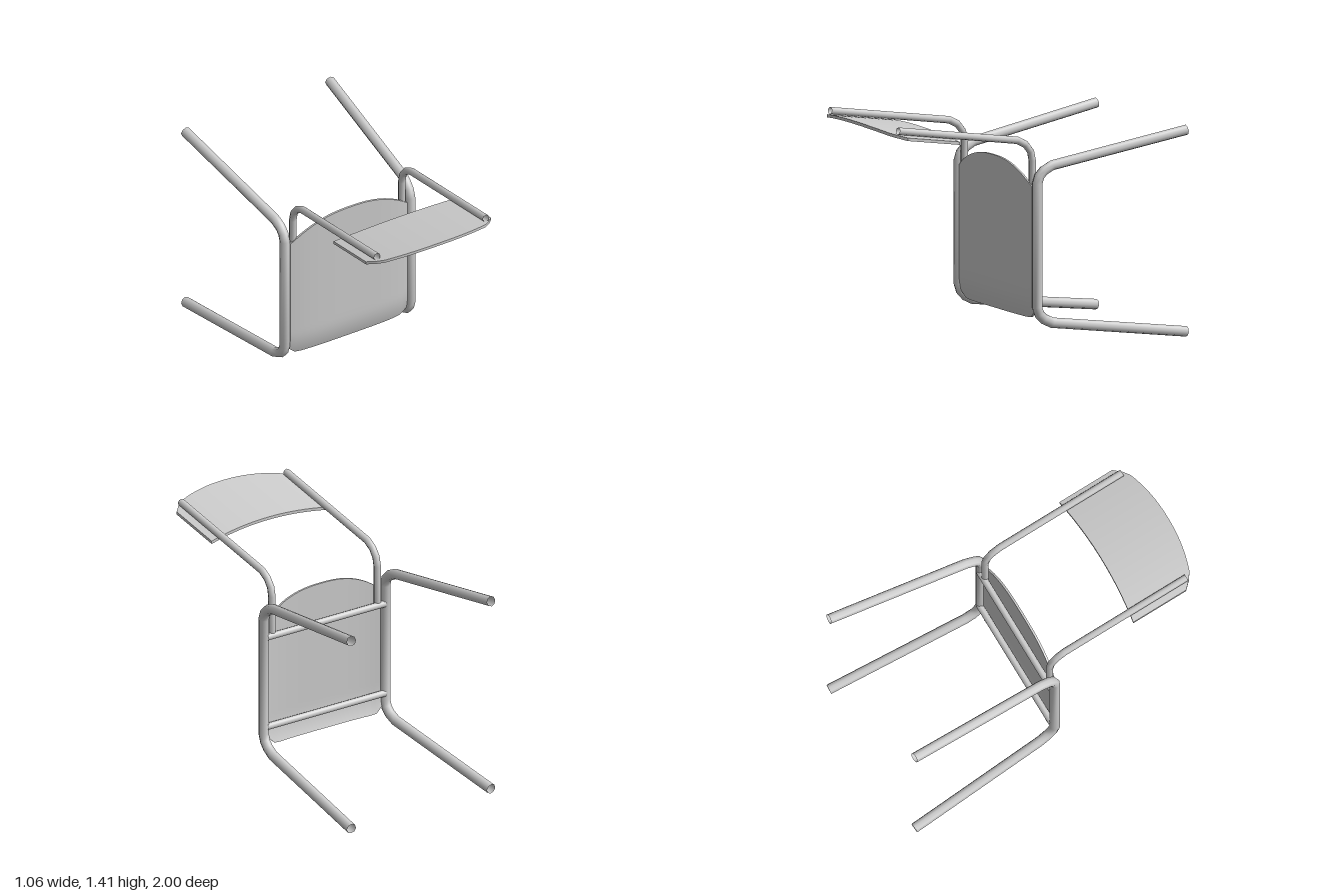
import * as THREE from 'three';

const metal = new THREE.MeshStandardMaterial({ color: 0xcccccc, side: THREE.DoubleSide });

// Polyline whose parameter steps point by point, so a tube gets one ring per point
class Polyline extends THREE.Curve {
  constructor(points) {
    super();
    this.points = points.map((p) => new THREE.Vector3(...p));
  }
  getPoint(t, target = new THREE.Vector3()) {
    const f = t * (this.points.length - 1);
    const i = Math.min(Math.floor(f + 1e-6), this.points.length - 2);
    return target.lerpVectors(this.points[i], this.points[i + 1], f - i);
  }
  getPointAt(t, target) {
    return this.getPoint(t, target);
  }
  getTangentAt(t, target = new THREE.Vector3()) {
    const n = this.points.length - 1;
    const i = Math.round(t * n);
    const dir = (a) => this.points[a + 1].clone().sub(this.points[a]).normalize();
    return target.copy(dir(Math.max(i - 1, 0))).add(dir(Math.min(i, n - 1))).normalize();
  }
}

function tube(name, points, radius) {
  const path = new Polyline(points);
  const mesh = new THREE.Mesh(new THREE.TubeGeometry(path, points.length - 1, radius, 8), metal);
  mesh.name = name;
  return mesh;
}

// Thin panel: a subdivided box whose vertices are placed by a rule
// u runs -1..1 across, v runs 0..1 along, w is 0 or 1 through the thickness
function panel(name, nu, nv, rule) {
  const geo = new THREE.BoxGeometry(2, 1, 1, nu, nv, 1);
  const pos = geo.attributes.position;
  for (let i = 0; i < pos.count; i++) {
    pos.setXYZ(i, ...rule(pos.getX(i), pos.getY(i) + 0.5, pos.getZ(i) + 0.5));
  }
  geo.computeVertexNormals();
  const mesh = new THREE.Mesh(geo, metal);
  mesh.name = name;
  return mesh;
}

export function createModel() {
  const chair = new THREE.Group();
  chair.name = 'chair';

  for (const s of [1, -1]) {
    const side = s > 0 ? 'left' : 'right';

    // Side frame: two splayed legs joined by the seat rail
    chair.add(tube(side + 'LegFrame', [
      [s * 0.497, 0.037, -0.993],
      [s * 0.437, 0.168, -0.11],
      [s * 0.433, 0.195, -0.055],
      [s * 0.432, 0.225, -0.025],
      [s * 0.432, 0.27, -0.01],
      [s * 0.432, 1.0, -0.01],
      [s * 0.432, 1.045, -0.025],
      [s * 0.433, 1.075, -0.055],
      [s * 0.437, 1.102, -0.11],
      [s * 0.497, 1.233, -0.993],
    ], 0.031));

    // Back post, bent from the rear crossbar up to the backrest
    chair.add(tube(side + 'BackPost', [
      [s * 0.375, 0.885, -0.012],
      [s * 0.375, 1.13, -0.012],
      [s * 0.375, 1.185, 0.0],
      [s * 0.375, 1.23, 0.035],
      [s * 0.375, 1.26, 0.09],
      [s * 0.375, 1.397, 0.91],
    ], 0.022));
  }

  // Crossbars under the seat
  chair.add(tube('frontCrossbar', [[-0.42, 0.315, -0.023], [0.42, 0.315, -0.023]], 0.021));
  chair.add(tube('rearCrossbar', [[-0.42, 0.885, -0.023], [0.42, 0.885, -0.023]], 0.021));

  // Seat: rounded rear edge, sides and front lip curling down
  chair.add(panel('seat', 20, 24, (u, v, w) => {
    const a = Math.abs(u);
    const top = 1.11 - 0.13 * a ** 2.5;
    const bottom = 0.195 + 0.04 * Math.max(0, (a - 0.85) / 0.15) ** 2;
    const y = bottom + (top - bottom) * v ** 1.4;
    const lip = Math.max(0, (0.35 - y) / 0.155) ** 2;
    return [u * 0.403, y, 0.028 - 0.02 * a ** 4 - 0.028 * lip - 0.013 * (1 - w)];
  }));

  // Backrest: bowed sheet fixed to the inner face of the posts
  chair.add(panel('backrest', 20, 6, (u, v, w) => {
    const a = Math.abs(u);
    const z0 = 0.55 - 0.03 * a ** 2;
    const z1 = 1.0 - 0.085 * a ** 2.2 - 0.04 * Math.max(0, (a - 0.85) / 0.15);
    const z = z0 + (z1 - z0) * v;
    const y = 1.285 + 0.165 * (z - 0.52) + 0.03 * (1 - a * a);
    return [u * 0.43, y + 0.018 * (1 - w), z];
  }));

  return chair;
}
